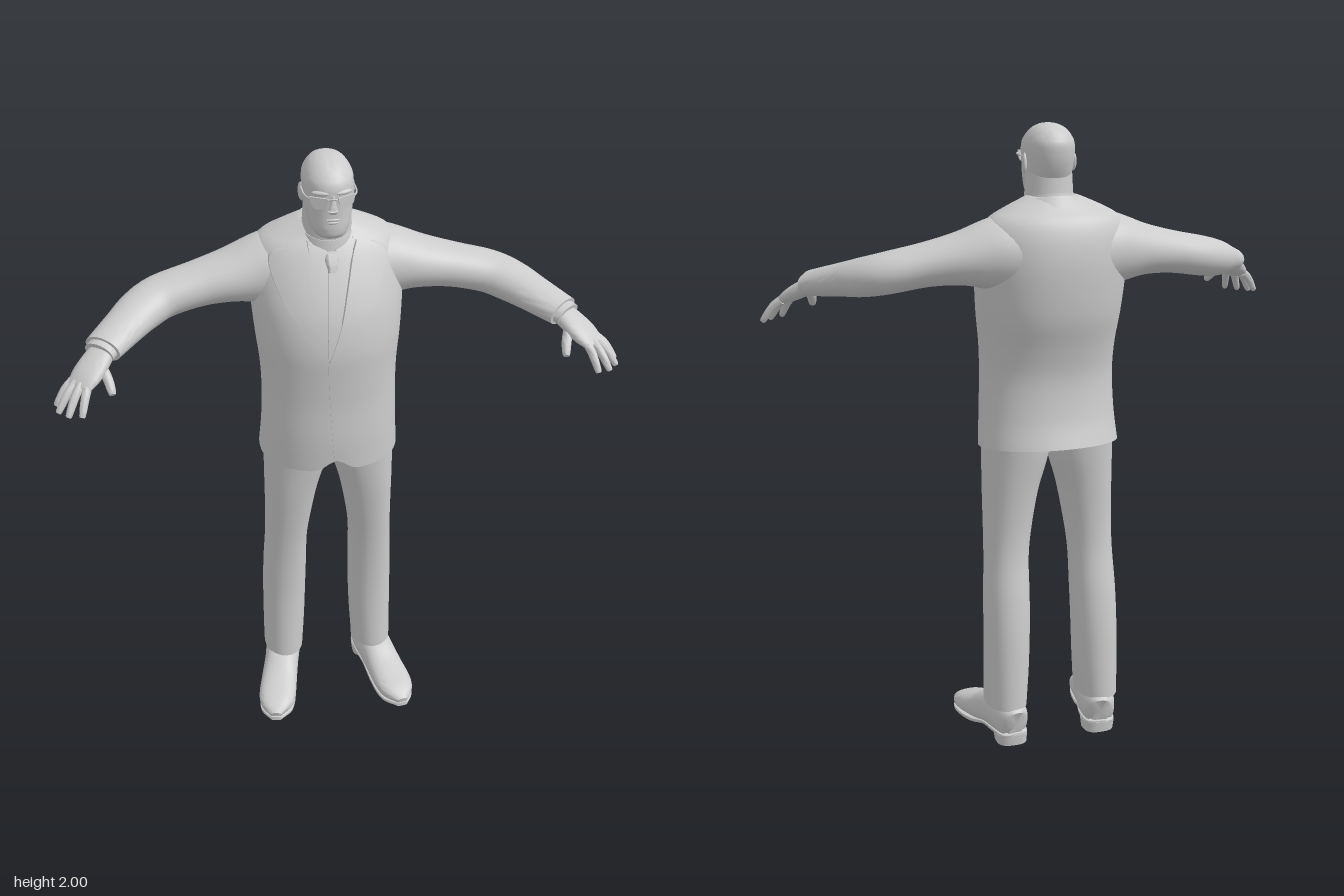
import * as THREE from 'three';
import { toCreasedNormals } from 'three/addons/utils/BufferGeometryUtils.js';

const V = (x, y, z) => new THREE.Vector3(x, y, z);
const UP = V(0, 1, 0);

// Smooth sampler through stations [x, y, z, radiusU, radiusV]
function sampler(st) {
  const mid = new THREE.CatmullRomCurve3(st.map(s => V(s[0], s[1], s[2])), false, 'catmullrom', 0.5);
  const rad = new THREE.CatmullRomCurve3(st.map(s => V(s[3], s[4], 0)), false, 'catmullrom', 0.5);
  return t => ({ c: mid.getPoint(t), r: rad.getPoint(t), w: mid.getTangent(Math.min(Math.max(t, 0.001), 0.999)) });
}

// Level station from height, half width, front z and back z
const level = (y, hw, zf, zb, x = 0) => [x, y, (zf + zb) / 2, (zf - zb) / 2, hw];

// Skin of superelliptic rings; level rings stay horizontal, others follow the path
function loft(st, { flat = false, n = 24, sub = 4, p = 2, warp = null, crease = 0.9, open = false } = {}) {
  const at = sampler(st), steps = (st.length - 1) * sub, pos = [], idx = [];
  const pw = a => Math.sign(a) * Math.abs(a) ** (2 / p);
  const put = v => { if (warp) warp(v); pos.push(v.x, v.y, v.z); };
  for (let i = 0; i <= steps; i++) {
    const { c, r, w } = at(i / steps);
    const u = flat ? V(0, 0, 1) : w.clone().cross(UP).normalize();
    const v = flat ? V(1, 0, 0) : w.clone().cross(u);
    for (let j = 0; j < n; j++) {
      const a = j / n * Math.PI * 2;
      put(c.clone().addScaledVector(u, r.x * pw(Math.cos(a))).addScaledVector(v, r.y * pw(Math.sin(a))));
      if (i < steps) {
        const k = i * n + j, l = i * n + (j + 1) % n;
        idx.push(k, l, k + n, l, l + n, k + n);
      }
    }
  }
  const base = steps * n, c0 = (steps + 1) * n;
  put(at(0).c); put(at(1).c);
  for (let j = 0; j < n; j++) {
    const k = (j + 1) % n;
    if (!open) idx.push(c0, k, j);
    idx.push(c0 + 1, base + j, base + k);
  }
  return finish(pos, idx, crease);
}

function finish(pos, idx, crease) {
  const g = new THREE.BufferGeometry();
  g.setAttribute('position', new THREE.Float32BufferAttribute(pos, 3));
  g.setIndex(idx);
  return toCreasedNormals(g, crease);
}

const JACKET = [
  level(0.99, 0.225, 0.105, -0.262), level(1.1, 0.218, 0.108, -0.235), level(1.22, 0.214, 0.105, -0.222),
  level(1.32, 0.217, 0.108, -0.24), level(1.42, 0.228, 0.11, -0.27), level(1.52, 0.236, 0.092, -0.283),
  level(1.6, 0.238, 0.06, -0.285), level(1.67, 0.232, 0.022, -0.275), level(1.72, 0.208, -0.01, -0.255),
  level(1.75, 0.16, -0.035, -0.225), level(1.775, 0.105, -0.05, -0.2), level(1.785, 0.08, -0.055, -0.19)];
const JACKET_P = 2.15, jacketAt = sampler(JACKET);

// Front surface of the jacket at x, y
function jacketZ(x, y) {
  let lo = 0, hi = 1;
  for (let i = 0; i < 24; i++) {
    const m = (lo + hi) / 2;
    if (jacketAt(m).c.y < y) lo = m; else hi = m;
  }
  const { c, r } = jacketAt(lo);
  return c.z + r.x * Math.max(0, 1 - Math.min(1, Math.abs(x / r.y)) ** JACKET_P) ** (1 / JACKET_P);
}

// Raised plate lying on the jacket front between two edges of [x, y] points
function plate(inner, outer, lift) {
  const curve = e => new THREE.SplineCurve(e.map(q => new THREE.Vector2(...q)));
  const a = curve(inner), b = curve(outer), pos = [], idx = [];
  const cols = [0, 0.02, 0.25, 0.5, 0.75, 0.98, 1], rows = 24, m = cols.length;
  for (let i = 0; i <= rows; i++) {
    const p = a.getPoint(i / rows), q = b.getPoint(i / rows), flip = q.x < p.x;
    cols.forEach((f, j) => {
      const x = p.x + (q.x - p.x) * f, y = p.y + (q.y - p.y) * f;
      pos.push(x, y, jacketZ(x, y) + (j === 0 || j === m - 1 ? -0.004 : lift));
      if (i < rows && j < m - 1) {
        const k = i * m + j;
        if (flip) idx.push(k, k + 1, k + m, k + 1, k + m + 1, k + m);
        else idx.push(k, k + m, k + 1, k + 1, k + m, k + m + 1);
      }
    });
  }
  return finish(pos, idx, 0.7);
}

export function createModel() {
  const model = new THREE.Group();
  model.name = 'suitedMan';
  const grey = new THREE.MeshStandardMaterial({ color: 0xcccccc, side: THREE.DoubleSide });
  grey.name = 'lightGrey';
  const add = (name, geo) => {
    const mesh = new THREE.Mesh(geo, grey);
    mesh.name = name;
    model.add(mesh);
    return mesh;
  };
  const ball = (name, at, size) => {
    const m = add(name, new THREE.SphereGeometry(1, 20, 14));
    m.position.set(...at);
    m.scale.set(...size);
    return m;
  };
  const rod = (name, pts, r) => add(name, new THREE.TubeGeometry(new THREE.CatmullRomCurve3(pts), 24, r, 6));

  // Jacket with a hem that rises at the back and opens at the front centre
  add('jacket', loft(JACKET, {
    flat: true, n: 72, p: JACKET_P, open: true, warp: v => {
      const k = Math.max(0, 1 - (v.y - 0.99) / 0.11);
      v.y += k * (v.z < 0 ? 0.1 * -v.z : 0.04 * Math.exp(-((v.x / 0.04) ** 2)));
    }
  }));
  add('jacketOpening', plate([[-0.027, 1.4], [-0.024, 1.3], [-0.016, 1.15], [-0.008, 1.04]],
    [[-0.02, 1.4], [-0.017, 1.3], [-0.009, 1.15], [-0.001, 1.04]], 0.004));

  // Shirt collar, jacket collar and tie
  const tilt = v => { v.y -= 0.3 * (v.z + 0.1); };
  add('shirtCollar', loft([level(1.725, 0.092, -0.002, -0.183), level(1.775, 0.082, -0.01, -0.172)], { flat: true, warp: tilt }));
  add('jacketCollar', loft([level(1.71, 0.13, -0.03, -0.225), level(1.74, 0.107, -0.03, -0.208),
    level(1.763, 0.093, -0.03, -0.195)], { flat: true, warp: tilt }));
  add('tie', plate([[-0.012, 1.68], [-0.02, 1.6], [-0.026, 1.5], [-0.026, 1.41]],
    [[0.012, 1.68], [0.02, 1.6], [0.014, 1.5], [-0.018, 1.41]], 0.008));
  add('tieKnot', loft([level(1.665, 0.013, 0.04, 0.0), level(1.69, 0.02, 0.028, -0.02), level(1.715, 0.022, 0.01, -0.03)], { flat: true, p: 3 }));

  // Head and neck
  add('neck', loft([level(1.7, 0.082, -0.012, -0.172), level(1.78, 0.076, -0.012, -0.16), level(1.86, 0.071, -0.02, -0.154)], { flat: true }));
  add('head', loft([level(1.765, 0.03, 0.008, -0.06), level(1.775, 0.047, 0.026, -0.085), level(1.8, 0.062, 0.032, -0.128),
    level(1.84, 0.071, 0.03, -0.155), level(1.88, 0.075, 0.03, -0.173), level(1.92, 0.077, 0.031, -0.181),
    level(1.95, 0.073, 0.02, -0.178), level(1.98, 0.053, -0.012, -0.155), level(1.995, 0.028, -0.045, -0.122),
    level(2, 0.002, -0.08, -0.086)], { flat: true, n: 40, p: 2.2, crease: 1.3 }));
  add('nose', loft([[0, 1.91, 0.028, 0.006, 0.008], [0, 1.885, 0.034, 0.009, 0.009], [0, 1.866, 0.036, 0.015, 0.01],
    [0, 1.858, 0.033, 0.01, 0.006]], { n: 16 }));
  ball('upperLip', [0, 1.834, 0.026], [0.023, 0.005, 0.007]);
  ball('lowerLip', [0, 1.825, 0.026], [0.02, 0.006, 0.007]);
  rod('glassesBridge', [V(-0.014, 1.9, 0.034), V(0, 1.904, 0.038), V(0.014, 1.9, 0.034)], 0.003);

  for (const s of [1, -1]) {
    const side = s > 0 ? 'left' : 'right';
    const mx = st => st.map(([x, ...rest]) => [s * x, ...rest]);
    const limb = (name, st, opts) => add(side + name, loft(mx(st), opts));

    // Face details
    ball(side + 'Brow', [s * 0.034, 1.917, 0.018], [0.028, 0.008, 0.01]).rotation.y = s * 0.35;
    const ear = ball(side + 'Ear', [s * 0.077, 1.882, -0.085], [0.008, 0.03, 0.018]);
    ear.rotation.y = s * -0.3;
    const lens = new THREE.Shape();
    lens.moveTo(-s * 0.026, 0.016);
    lens.lineTo(s * 0.029, 0.019);
    lens.quadraticCurveTo(s * 0.03, -0.018, s * 0.004, -0.019);
    lens.quadraticCurveTo(-s * 0.024, -0.02, -s * 0.026, 0.016);
    const glass = add(side + 'Lens', new THREE.ExtrudeGeometry(lens, { depth: 0.005, bevelEnabled: false, curveSegments: 12 }));
    glass.position.set(s * 0.038, 1.891, 0.026);
    glass.rotation.y = s * 0.38;
    rod(side + 'Temple', [V(s * 0.064, 1.902, 0.018), V(s * 0.077, 1.902, -0.01), V(s * 0.08, 1.9, -0.085)], 0.003);

    // Lapel and shirt collar wing; the lapels meet right of centre
    const fold = e => e.map(([x, y], i) => [s * x - 0.025 * i / (e.length - 1), y]);
    add(side + 'Lapel', plate(fold([[0.08, 1.738], [0.068, 1.7], [0.053, 1.62], [0.032, 1.51], [0, 1.4]]),
      fold([[0.125, 1.73], [0.18, 1.695], [0.15, 1.6], [0.085, 1.5], [0.003, 1.392]]), 0.012));
    add(side + 'CollarWing', plate([[s * 0.012, 1.722], [s * 0.02, 1.705], [s * 0.045, 1.675]],
      [[s * 0.07, 1.745], [s * 0.066, 1.715], [s * 0.047, 1.673]], 0.014));

    // Sleeve flowing out of the shoulder, and shirt cuff
    limb('Sleeve', [[0.07, 1.61, -0.13, 0.138, 0.13], [0.16, 1.617, -0.131, 0.122, 0.117], [0.225, 1.613, -0.127, 0.109, 0.102],
      [0.3, 1.605, -0.118, 0.098, 0.08], [0.4, 1.59, -0.105, 0.084, 0.067], [0.51, 1.568, -0.083, 0.08, 0.064],
      [0.575, 1.551, -0.037, 0.076, 0.06], [0.625, 1.537, 0.022, 0.069, 0.052], [0.7, 1.515, 0.115, 0.062, 0.041]], { n: 36 });
    limb('Cuff', [[0.68, 1.521, 0.09, 0.053, 0.034], [0.712, 1.51, 0.13, 0.05, 0.033]]);

    // Hand with four spread fingers and a thumb
    limb('Palm', [[0.69, 1.517, 0.105, 0.038, 0.026], [0.725, 1.492, 0.15, 0.047, 0.025],
      [0.755, 1.468, 0.185, 0.05, 0.021], [0.78, 1.447, 0.21, 0.043, 0.012]], { p: 2.3 });
    const knuckles = [[0.793, 1.454, 0.172], [0.785, 1.457, 0.19], [0.77, 1.458, 0.206], [0.75, 1.457, 0.216]];
    const tips = [[0.847, 1.39, 0.2], [0.842, 1.385, 0.233], [0.814, 1.385, 0.262], [0.775, 1.39, 0.277]];
    const finger = (name, a, b, c, r) => limb(name, [[...a, r, r], [...b, r, r], [...c, r * 0.75, r * 0.75],
      [...c.map((q, i) => q + (q - b[i]) * 0.1), r * 0.25, r * 0.25]], { n: 12, sub: 3 });
    knuckles.forEach((k, i) => finger('Finger' + (i + 1), k,
      k.map((q, j) => (q + tips[i][j]) / 2 + (j === 1 ? 0.008 : 0)), tips[i], 0.013));
    finger('Thumb', [0.71, 1.488, 0.155], [0.692, 1.457, 0.2], [0.684, 1.43, 0.232], 0.015);

    // Trouser leg
    limb('TrouserLeg', [level(0.125, 0.067, -0.01, -0.205, 0.158), level(0.25, 0.071, -0.016, -0.203, 0.154),
      level(0.38, 0.073, -0.018, -0.198, 0.151), level(0.5, 0.073, -0.012, -0.186, 0.148),
      level(0.62, 0.071, 0, -0.168, 0.144), level(0.72, 0.076, 0.015, -0.165, 0.137),
      level(0.85, 0.088, 0.035, -0.175, 0.125), level(0.97, 0.105, 0.05, -0.19, 0.108),
      level(1.06, 0.106, 0.06, -0.2, 0.107)], { flat: true, n: 32, p: 2.2 });

    // Shoe upper, sole and heel, turned slightly outward
    limb('Shoe', [[0.147, 0.075, -0.2, 0.028, 0.045], [0.15, 0.08, -0.18, 0.05, 0.058], [0.158, 0.083, -0.12, 0.06, 0.064],
      [0.172, 0.078, -0.05, 0.059, 0.06], [0.19, 0.056, 0.02, 0.062, 0.046], [0.207, 0.042, 0.09, 0.064, 0.035],
      [0.218, 0.034, 0.14, 0.053, 0.026], [0.225, 0.026, 0.18, 0.019, 0.011]],
      { n: 28, p: 2.5, warp: v => { v.y = Math.max(v.y, v.z < -0.04 ? 0.036 : 0.014); } });
    limb('Sole', [[0.147, 0.036, -0.2, 0.026, 0.006], [0.15, 0.036, -0.18, 0.048, 0.007], [0.158, 0.036, -0.12, 0.056, 0.007],
      [0.172, 0.03, -0.05, 0.053, 0.007], [0.19, 0.012, 0.02, 0.058, 0.008], [0.207, 0.009, 0.09, 0.062, 0.008],
      [0.218, 0.01, 0.142, 0.052, 0.008], [0.225, 0.012, 0.183, 0.018, 0.007]], { n: 20, p: 5 });
    limb('Heel', [level(0, 0.05, -0.1, -0.198, 0.152), level(0.036, 0.054, -0.09, -0.202, 0.153)], { flat: true, p: 2.8 });
  }
  return model;
}
